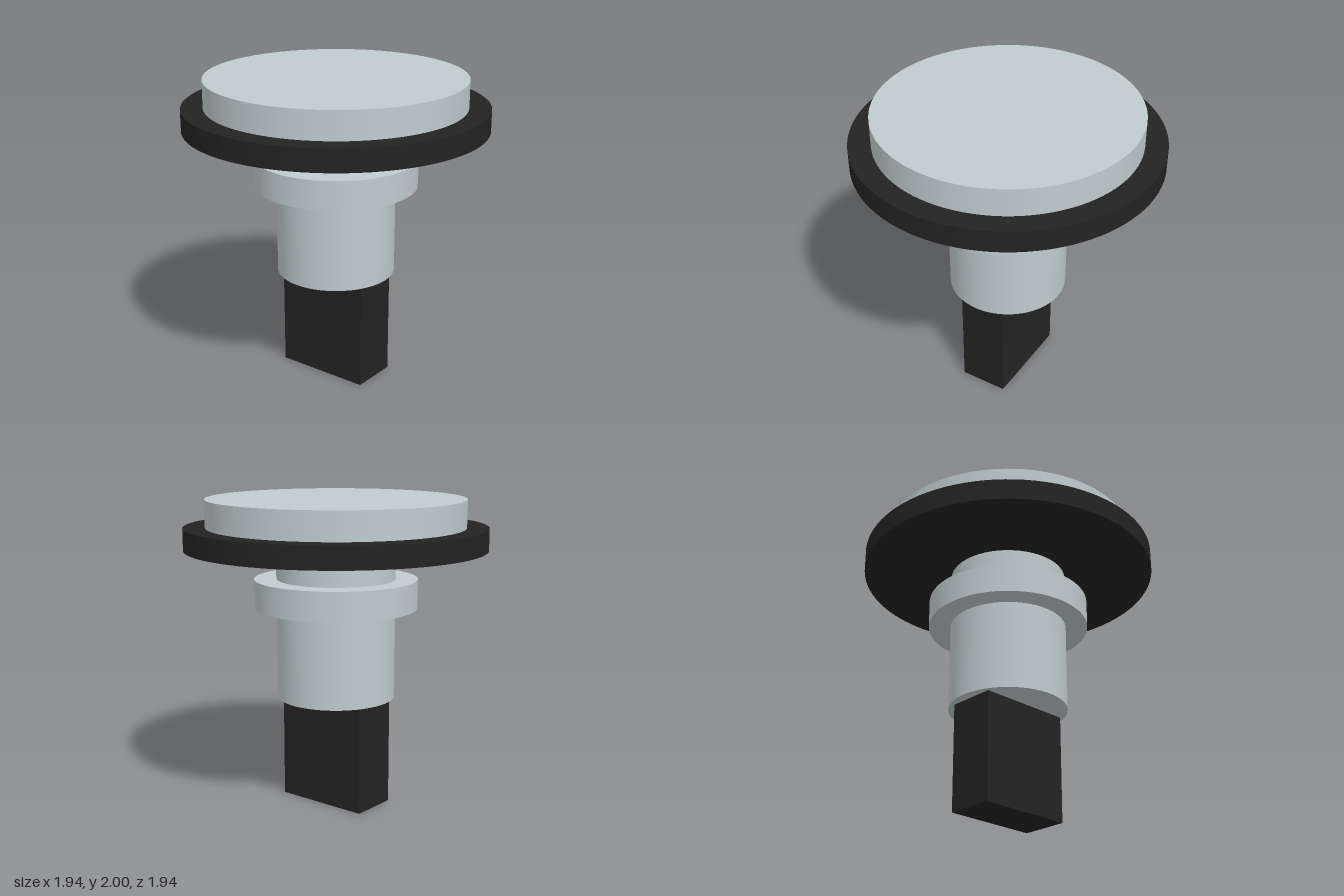
import * as THREE from 'three';

export function createModel() {
  const model = new THREE.Group();
  const metal = new THREE.MeshStandardMaterial({ color: 0xc0cccf });
  metal.name = 'pale grey metal';
  const black = new THREE.MeshStandardMaterial({ color: 0x232323 });
  black.name = 'black plastic';

  const add = (name, geometry, material, bottom, top) => {
    const mesh = new THREE.Mesh(geometry, material);
    mesh.name = name;
    mesh.position.y = (bottom + top) / 2;
    model.add(mesh);
  };
  const disc = (name, radius, bottom, top, material) =>
    add(name, new THREE.CylinderGeometry(radius, radius, top - bottom, 96), material, bottom, top);

  // Flat blade at the foot, tucked against the barrel
  add('blade', new THREE.BoxGeometry(0.64, 0.71, 0.315), black, 0, 0.71);

  // Round parts, from the barrel up to the cap
  disc('barrel', 0.384, 0.71, 1.685, metal);
  disc('collar', 0.527, 1.3, 1.488, metal);
  disc('gasket', 0.97, 1.682, 1.822, black);
  disc('cap', 0.83, 1.822, 2, metal);

  return model;
}
